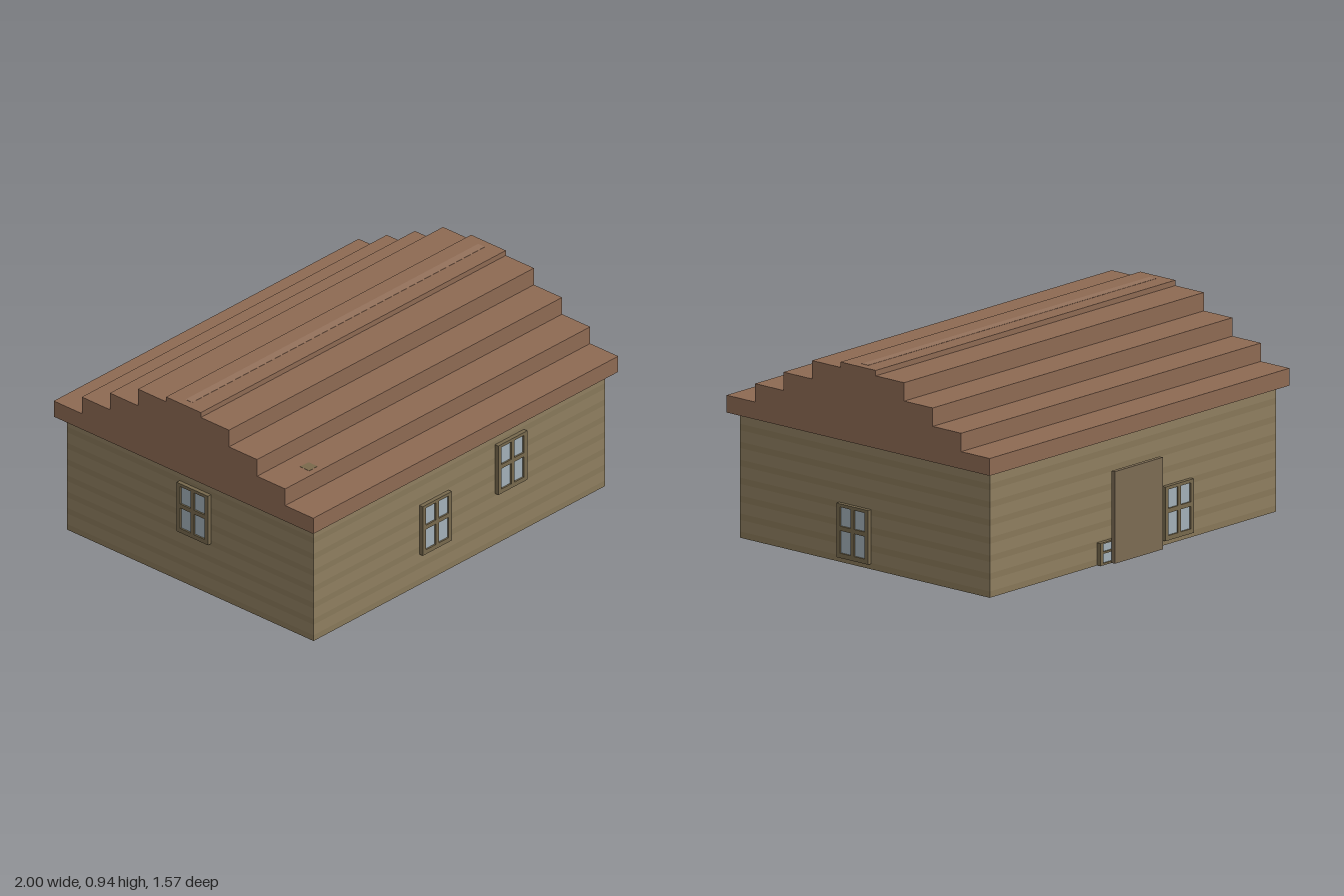
import * as THREE from 'three';

const mat = (color) => new THREE.MeshStandardMaterial({ color });
const wallLight = mat(0x908061);
const wallDark = mat(0x89795a);
const roofMat = mat(0x8f6b54);
const ridgeMat = mat(0x97745d);
const mossMat = mat(0x7c6a4c);
const frameMat = mat(0x786a4e);
const doorMat = mat(0x7d6c54);
const glassMat = mat(0xa4b2ba);

const WX = 0.955, WZ = 0.745, WALL_H = 0.58;

function box(name, material, w, h, d, x, y, z) {
  const mesh = new THREE.Mesh(new THREE.BoxGeometry(w, h, d), material);
  mesh.name = name;
  mesh.position.set(x, y, z);
  return mesh;
}

function rect(target, x0, y0, x1, y1) {
  target.moveTo(x0, y0);
  target.lineTo(x1, y0);
  target.lineTo(x1, y1);
  target.lineTo(x0, y1);
  target.closePath();
  return target;
}

// Four-pane window facing +z, bottom centre at the origin
function makeWindow(h = 0.25) {
  const g = new THREE.Group();
  g.name = 'window';
  const s = h / 0.25;
  const shape = rect(new THREE.Shape(), -0.095, 0, 0.095, h);
  for (const [x0, x1] of [[-0.074, -0.01], [0.01, 0.074]])
    for (const [y0, y1] of [[0.022, 0.126], [0.147, 0.235]])
      shape.holes.push(rect(new THREE.Path(), x0, y0 * s, x1, y1 * s));
  const frame = new THREE.Mesh(
    new THREE.ExtrudeGeometry(shape, { depth: 0.02, bevelEnabled: false }), frameMat);
  frame.name = 'windowFrame';
  g.add(frame);
  g.add(box('windowGlass', glassMat, 0.17, h * 0.92, 0.012, 0, h / 2, 0.006));
  return g;
}

export function createModel() {
  const house = new THREE.Group();
  house.name = 'house';

  // Walls: stacked plank courses, each with a light and a dark band
  const walls = new THREE.Group();
  walls.name = 'walls';
  const courses = 7, course = WALL_H / courses;
  for (let i = 0; i < courses; i++) {
    const y = i * course;
    walls.add(box('plankShadow', wallDark, WX * 2, course * 0.35, WZ * 2, 0, y + course * 0.175, 0));
    walls.add(box('plank', wallLight, WX * 2, course * 0.65, WZ * 2, 0, y + course * 0.675, 0));
  }
  house.add(walls);

  // Stepped roof: half profile [half depth, top height], mirrored and run along x
  const steps = [[0.785, 0.66], [0.615, 0.745], [0.445, 0.83], [0.275, 0.915], [0.105, 0.94]];
  const right = [];
  let y = WALL_H;
  for (const [z, top] of steps) {
    right.push(new THREE.Vector2(z, y), new THREE.Vector2(z, top));
    y = top;
  }
  const left = right.map((p) => new THREE.Vector2(-p.x, p.y)).reverse();
  const roofGeo = new THREE.ExtrudeGeometry(new THREE.Shape([...right, ...left]),
    { depth: 2, bevelEnabled: false });
  roofGeo.translate(0, 0, -1).rotateY(Math.PI / 2);
  const roof = new THREE.Mesh(roofGeo, roofMat);
  roof.name = 'roof';
  house.add(roof);
  house.add(box('ridgeStrip', ridgeMat, 1.92, 0.004, 0.04, 0, 0.939, -0.005));
  house.add(box('roofPatch', mossMat, 0.055, 0.004, 0.055, -0.78, 0.744, 0.555));

  // Windows: [x, bottom, z, turn, height]
  const placements = [
    [-0.165, 0.155, WZ, 0],
    [0.33, 0.26, WZ, 0],
    [WX, 0.025, 0.057, Math.PI / 2],
    [-WX, 0.26, 0.03, -Math.PI / 2],
    [-0.29, 0.025, -WZ, Math.PI],
    [0.145, 0, -WZ, Math.PI, 0.105],
  ];
  for (const [x, bottom, z, turn, h] of placements) {
    const w = makeWindow(h);
    w.position.set(x, bottom, z);
    w.rotation.y = turn;
    house.add(w);
  }

  // Back door: inner panel with a larger slab in front
  const door = new THREE.Group();
  door.name = 'door';
  door.add(box('doorPanel', doorMat, 0.28, 0.405, 0.021, 0, 0.2025, -WZ - 0.0105));
  door.add(box('doorSlab', doorMat, 0.32, 0.425, 0.02, 0.005, 0.2125, -WZ - 0.03));
  house.add(door);

  return house;
}
